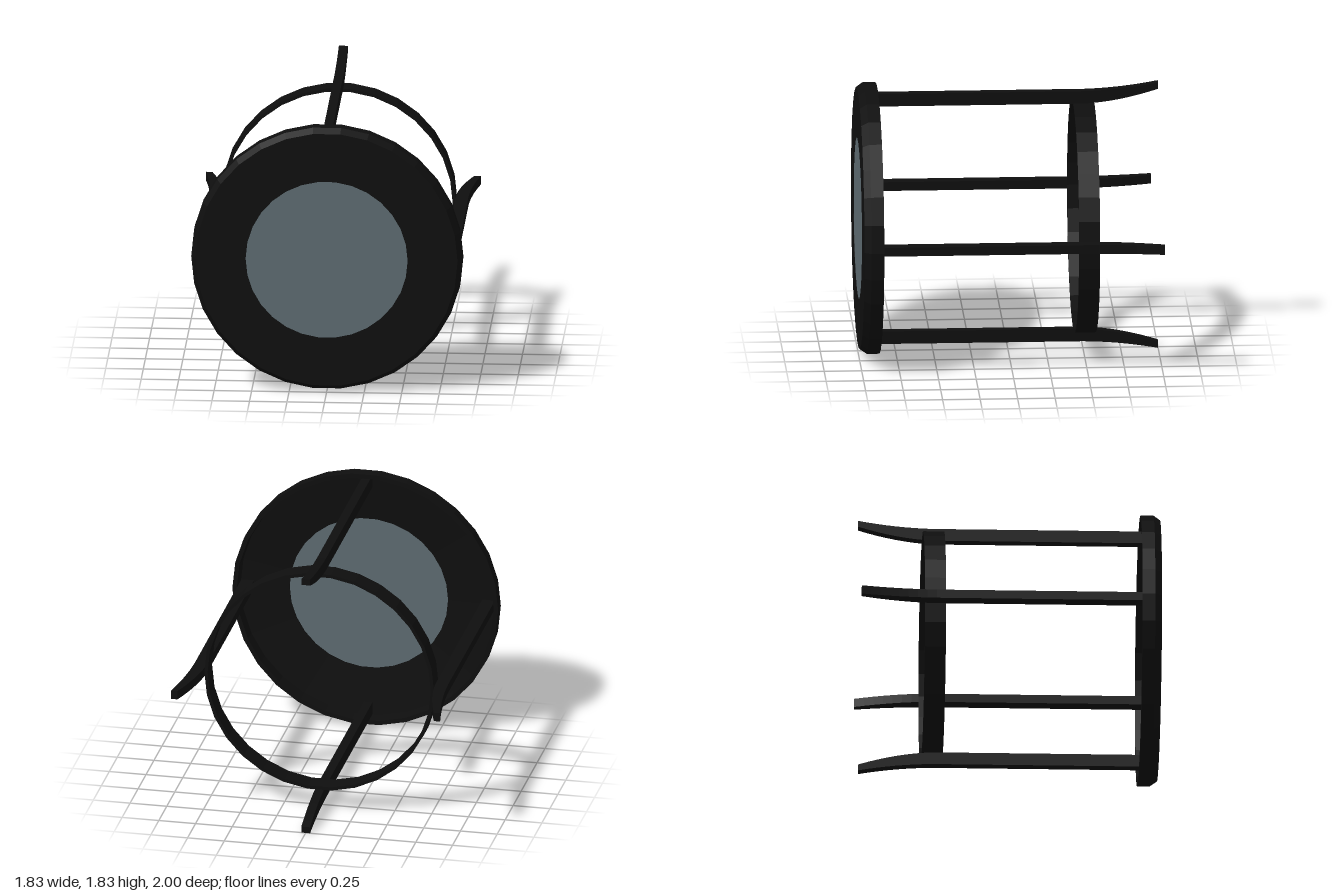
import * as THREE from 'three';

const SIDES = 30;
const CENTER_Y = 0.917;

// Revolve a closed (radius, z) profile around the z axis
function ringAlongZ(profile) {
  const points = [...profile, profile[0]].map(([r, z]) => new THREE.Vector2(r, z));
  return new THREE.LatheGeometry(points, SIDES, Math.PI / 2).rotateX(Math.PI / 2);
}

// Straight bar whose rear end flares outward; profile is (radius, -z)
function barGeometry() {
  const width = 0.06;
  const shape = new THREE.Shape();
  shape.moveTo(0.777, -0.97);
  shape.lineTo(0.863, -0.97);
  shape.lineTo(0.863, 0.5);
  shape.quadraticCurveTo(0.868, 0.75, 0.916, 1);
  shape.lineTo(0.873, 1);
  shape.quadraticCurveTo(0.788, 0.74, 0.777, 0.5);
  shape.closePath();
  return new THREE.ExtrudeGeometry(shape, { depth: width, bevelEnabled: false, curveSegments: 8 })
    .translate(0, 0, -width / 2)
    .rotateX(-Math.PI / 2);
}

export function createModel() {
  const model = new THREE.Group();
  model.name = 'glassCoverWithCage';
  model.position.y = CENTER_Y;

  const blackFrame = new THREE.MeshStandardMaterial({ color: 0x0e0e0e, flatShading: true });
  blackFrame.name = 'blackFrame';
  const greyGlass = new THREE.MeshStandardMaterial({ color: 0x5d6b71, flatShading: true });
  greyGlass.name = 'greyGlass';

  const add = (name, geometry, material) => {
    const mesh = new THREE.Mesh(geometry, material);
    mesh.name = name;
    model.add(mesh);
    return mesh;
  };

  // Bevelled front cover, hollow at the back
  add('frontCover', ringAlongZ([
    [0.54, 0.98], [0.868, 0.96], [0.875, 0.87], [0.905, 0.87],
    [0.905, 0.955], [0.873, 1], [0.54, 1],
  ]), blackFrame);

  // Round window in the cover
  const glass = new THREE.CylinderGeometry(0.54, 0.54, 0.009, SIDES, 1, false, Math.PI / 2);
  add('window', glass.rotateX(Math.PI / 2).translate(0, 0, 0.994), greyGlass);

  // Thin hoop inside the bars
  add('rearHoop', ringAlongZ([
    [0.76, -0.575], [0.782, -0.575], [0.782, -0.435], [0.76, -0.435],
  ]), blackFrame);

  // Four bars around the axis
  const bar = barGeometry();
  ['leftBar', 'topBar', 'rightBar', 'bottomBar'].forEach((name, i) => {
    add(name, bar, blackFrame).rotation.z = i * Math.PI / 2;
  });

  const root = new THREE.Group();
  root.name = 'model';
  root.add(model);
  return root;
}
